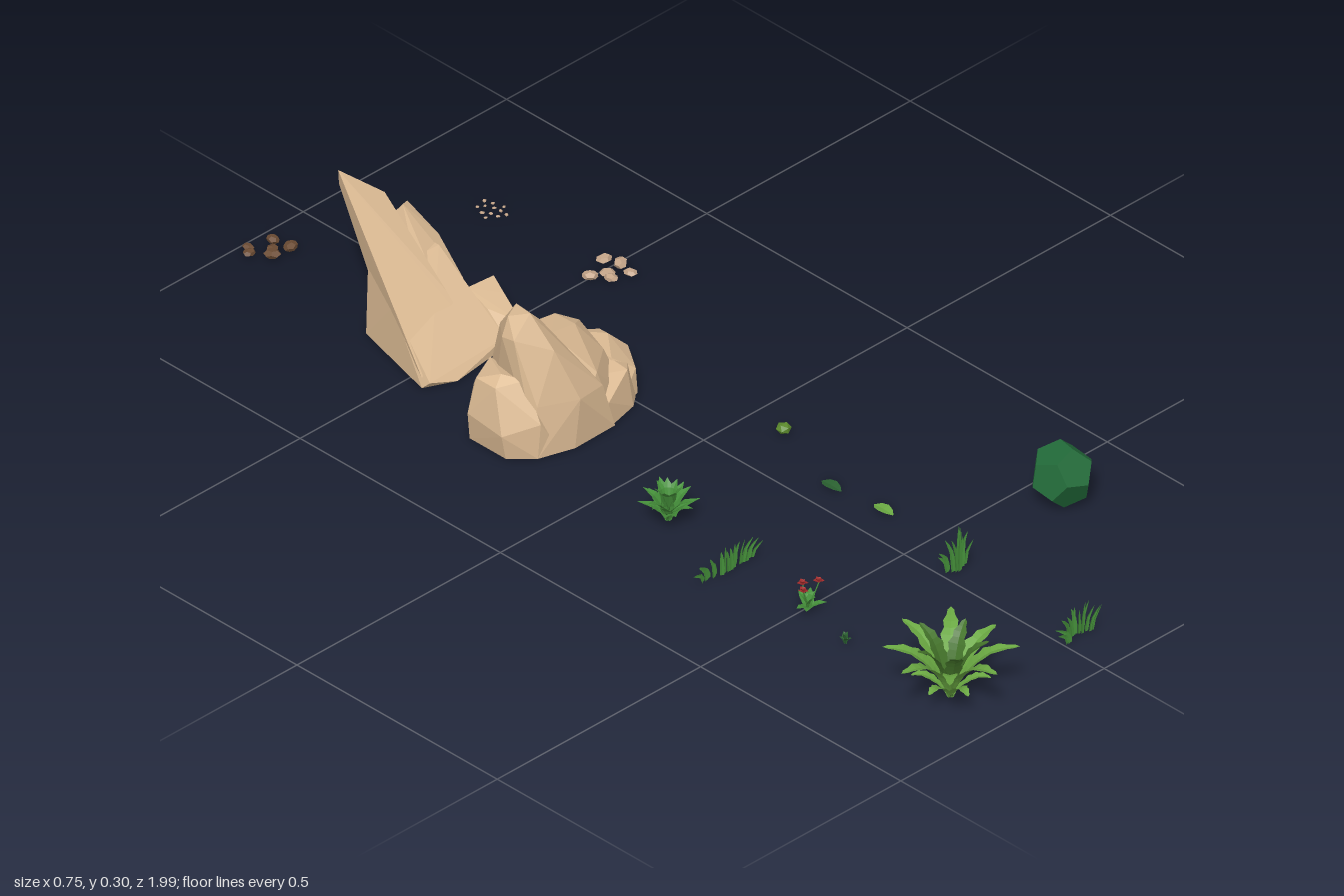
import * as THREE from 'three';
import { mergeGeometries } from 'three/addons/utils/BufferGeometryUtils.js';
import { ConvexGeometry } from 'three/addons/geometries/ConvexGeometry.js';

const paint = (color, side = THREE.FrontSide) => new THREE.MeshStandardMaterial({ color, side, flatShading: true });
const ROCK = paint(0xdcbb94), STONE = paint(0xc4a488), DARK_STONE = paint(0x6b4b33);
const BUSH = paint(0x226a39), MOSS = paint(0x5b8a2c);
const FERN = paint(0x6aa842, THREE.DoubleSide), FERN_DARK = paint(0x44742a, THREE.DoubleSide);
const GRASS = paint(0x45903a, THREE.DoubleSide), GRASS_DARK = paint(0x2a6030, THREE.DoubleSide);
const RED = paint(0xa02a2a, THREE.DoubleSide);

let seed = 7;
const rnd = (a = 0, b = 1) => {
  seed = (seed * 16807) % 2147483647;
  return a + (b - a) * (seed / 2147483647);
};

function mesh(name, geo, mat, x = 0, y = 0, z = 0) {
  const m = new THREE.Mesh(geo, mat);
  m.name = name;
  m.position.set(x, y, z);
  return m;
}

// Faceted rock from its corner points
const hull = (pts) => new ConvexGeometry(pts.map((p) => new THREE.Vector3(...p)));

// Leaf strip along a path of [out, up] points. 'card' keeps its width in the bending plane.
function leaf(path, widths, { turn = 0, fold = 0.2, card = false } = {}) {
  const curve = new THREE.SplineCurve(path.map((p) => new THREE.Vector2(...p)));
  const n = widths.length - 1, pos = [], index = [];
  widths.forEach((w, i) => {
    const p = curve.getPoint(i / n), t = curve.getTangent(Math.min(0.98, i / n));
    for (const s of [-1, 0, 1]) {
      const lift = Math.abs(s) * fold * w;
      if (card) pos.push(p.x - t.y * s * w, p.y + t.x * s * w, lift);
      else pos.push(p.x - t.y * lift, p.y + t.x * lift, s * w);
    }
    if (i < n) for (const k of [0, 1]) {
      const a = i * 3 + k;
      index.push(a, a + 1, a + 3, a + 1, a + 4, a + 3);
    }
  });
  const g = new THREE.BufferGeometry();
  g.setAttribute('position', new THREE.Float32BufferAttribute(pos, 3));
  g.setIndex(index);
  g.rotateY(turn);
  g.computeVertexNormals();
  return g;
}

function boulder() {
  const g = new THREE.Group();
  g.name = 'boulder';
  const add = (name, pts) => g.add(mesh(name, hull(pts), ROCK));
  add('boulderPeak', [
    [-.25, 0, -.16], [-.18, 0, -.138], [-.08, 0, -.14], [-.06, 0, -.33], [-.13, 0, -.35], [-.21, 0, -.315],
    [-.242, .1, -.17], [-.17, .1, -.135], [-.1, .09, -.15], [-.21, .12, -.315], [-.12, .1, -.345],
    [-.25, .22, -.22], [-.25, .215, -.25], [-.215, .265, -.215], [-.235, .252, -.25], [-.2, .255, -.265],
    [-.185, .235, -.22], [-.205, .2, -.3], [-.2, .2, -.17], [-.15, .18, -.3],
  ]);
  add('boulderRidge', [
    [-.18, 0, -.145], [-.065, 0, -.155], [.0, 0, -.19], [.03, 0, -.3], [-.05, 0, -.345], [-.14, 0, -.35],
    [-.15, .185, -.23], [-.16, .185, -.28], [-.08, .167, -.24], [-.08, .165, -.29], [-.04, .142, -.27],
    [-.13, .13, -.335], [-.05, .11, -.335], [-.1, .11, -.165], [-.03, .1, -.22], [0, .08, -.29],
  ]);
  add('boulderShoulder', [
    [-.29, 0, -.2], [-.25, 0, -.16], [-.2, 0, -.15], [-.2, 0, -.325], [-.24, 0, -.33], [-.29, 0, -.29],
    [-.3, .05, -.2], [-.3, .06, -.285], [-.245, .07, -.158], [-.235, .07, -.335], [-.286, .132, -.23],
    [-.262, .147, -.24], [-.24, .142, -.2], [-.284, .13, -.28], [-.22, .13, -.31],
  ]);
  add('boulderFoot', [
    [-.04, 0, -.17], [.02, 0, -.185], [.06, 0, -.245], [.07, 0, -.31], [-.04, 0, -.345],
    [.07, .02, -.315], [.06, .05, -.25], [.04, .07, -.3], [.03, .08, -.27], [-.02, .08, -.21], [-.03, .085, -.335],
    [.02, .05, -.19],
  ]);
  add('boulderFrontBlock', [
    [-.09, 0, -.142], [-.015, 0, -.16], [.01, 0, -.18], [-.09, .05, -.145], [-.015, .07, -.175],
    [.01, .06, -.2], [-.08, .075, -.2], [-.02, .08, -.23], [-.09, 0, -.22],
  ]);
  return g;
}

function leaningRock() {
  const g = new THREE.Group();
  g.name = 'leaningRock';
  const add = (name, pts) => g.add(mesh(name, hull(pts), ROCK));
  add('leaningRockBase', [
    [-.24, 0, -.46], [-.235, .015, -.445], [-.18, 0, -.432], [-.04, 0, -.45], [-.045, .02, -.45],
    [-.035, 0, -.7], [-.19, 0, -.65], [-.212, .11, -.56], [-.195, .15, -.61], [-.06, .15, -.6],
    [-.04, .13, -.63], [-.185, .15, -.65], [-.06, .15, -.64],
  ]);
  add('leaningRockSpire', [
    [-.238, .02, -.462], [-.212, .1, -.56], [-.1, .1, -.54], [-.1, .06, -.5], [-.185, .12, -.645], [-.105, .14, -.65],
    [-.175, .298, -.735], [-.17, .265, -.738], [-.105, .24, -.69], [-.105, .215, -.71],
  ]);
  add('leaningRockSideSpire', [
    [-.11, .09, -.54], [-.04, .09, -.56], [-.11, .1, -.66], [-.035, .08, -.66],
    [-.085, .217, -.665], [-.064, .21, -.675], [-.036, .15, -.625], [-.1, .18, -.69], [-.06, .18, -.69], [-.11, .17, -.62],
  ]);
  add('leaningRockChip', [
    [-.02, 0, -.48], [.015, 0, -.475], [-.02, 0, -.56], [.03, 0, -.56],
    [-.025, .06, -.565], [.04, .055, -.565], [.03, .04, -.53], [-.02, .035, -.52], [.018, .01, -.472],
  ]);
  return g;
}

// Scatter of squashed faceted pebbles at [x, z]
function pebbles(name, spots, size, mat) {
  const parts = spots.map(([x, z]) => {
    const s = size * rnd(0.75, 1.1);
    return new THREE.DodecahedronGeometry(1).rotateX(rnd(0, 3)).scale(s * 1.15, s * 0.58, s * 0.9)
      .rotateY(rnd(0, 6)).translate(x, s * 0.53, z);
  });
  return mesh(name, mergeGeometries(parts), mat);
}

// Flat fan of blades: roots spread over x, tips arching outward
function grassFan(name, x, z, { count, spread, height, lean, bow = 0 }) {
  const parts = [];
  for (let i = 0; i < count; i++) {
    const u = (i / (count - 1)) * 2 - 1;
    const h = height * (1 - 0.5 * u * u) * rnd(0.75, 1.05), out = u * lean + rnd(-.008, .008);
    parts.push(leaf([[0, 0], [out * 0.25, h * 0.6], [out, h]], [.004, .005, .004, .0025, .0003], { card: true, turn: rnd(-.3, .3) })
      .translate(u * spread, 0, bow * u * u + rnd(-.006, .006)));
  }
  return mesh(name, mergeGeometries(parts), GRASS, x, 0, z);
}

// Round tuft of arching blades, every third one upright
function tuft(count, radius, height, width) {
  const parts = [];
  for (let i = 0; i < count; i++) {
    const upright = i % 3 === 0;
    const r = radius * (upright ? 0.45 : rnd(0.8, 1)), h = height * (upright ? 1 : rnd(0.5, 0.8));
    parts.push(leaf([[0, 0], [r * 0.35, h * 0.65], [r, h]], [width * 0.5, width, width * 0.85, .0003],
      { turn: (i / count) * Math.PI * 2 + rnd(-.15, .15) }));
  }
  return mergeGeometries(parts);
}

// Fern with a ring of toothed arching fronds and a darker upright heart
function fern() {
  const g = new THREE.Group();
  g.name = 'fern';
  const toothed = (w) => Array.from({ length: 13 }, (_, i) => {
    const t = i / 12;
    return i === 12 ? 0 : w * (0.3 + 1.2 * t) * Math.min(1, (1 - t) * 1.8) * (i % 2 ? 1 : 0.72) + .001;
  });
  const ring = (n, path, w, offset) => mergeGeometries(Array.from({ length: n }, (_, i) => {
    const k = rnd(0.94, 1.04);
    return leaf(path.map(([r, y]) => [r * k, y * k]), toothed(w), { turn: offset + (i / n) * Math.PI * 2, fold: 0.25 });
  }));
  g.add(mesh('outerFronds', ring(8, [[0, 0], [.03, .055], [.07, .093], [.119, .104]], .023, 0), FERN));
  g.add(mesh('innerFronds', ring(5, [[0, 0], [.018, .055], [.04, .1], [.07, .122]], .021, 0.4), FERN_DARK));
  g.add(mesh('lowFronds', ring(6, [[0, 0], [.025, .03], [.05, .045], [.07, .042]], .014, 0.2), FERN));
  g.position.set(-.255, 0, .875);
  return g;
}

// Small leafy plant with red blossoms
function flower() {
  const g = new THREE.Group();
  g.name = 'flower';
  g.add(mesh('flowerLeaves', tuft(8, .035, .03, .009), GRASS));
  [[.016, .053, .01], [-.018, .046, .006], [.004, .04, -.018]].forEach(([x, y, z]) => {
    const stem = new THREE.LineCurve3(new THREE.Vector3(), new THREE.Vector3(x, y, z));
    g.add(mesh('flowerStem', new THREE.TubeGeometry(stem, 1, .0013, 4), GRASS));
    g.add(mesh('blossom', tuft(5, .011, .009, .005), RED, x, y, z));
  });
  g.position.set(-.24, 0, .505);
  return g;
}

// Single leaf lying on the ground
function fallenLeaf(x, z, mat) {
  const g = leaf([[-.024, .002], [0, .004], [.024, .002]], [.001, .009, .013, .01, .0003], { turn: Math.PI / 2 });
  return mesh('fallenLeaf', g, mat, x, 0, z);
}

export function createModel() {
  const g = new THREE.Group();
  g.name = 'natureSet';
  g.add(boulder(), leaningRock());

  // Stones
  g.add(pebbles('darkStones', [[-.153, -.982], [-.164, -.968], [-.106, -.968], [-.13, -.945], [-.14, -.935], [-.1, -.93]], .014, DARK_STONE));
  g.add(pebbles('tanStones', [[.21, -.497], [.264, -.517], [.275, -.487], [.238, -.482], [.232, -.467], [.268, -.455]], .0135, STONE));
  const grit = Array.from({ length: 12 }, (_, i) => {
    const r = Math.sqrt((i + 1) / 12);
    return [.235 + .028 * Math.cos(i * 2.4) * r, -.77 + .032 * Math.sin(i * 2.4) * r];
  });
  g.add(pebbles('grit', grit, .004, STONE));

  // Shrub and moss lump
  g.add(mesh('roundBush', new THREE.DodecahedronGeometry(.0605).rotateX(.35).rotateZ(.3).rotateY(.1), BUSH, .313, .058, .577));
  g.add(mesh('mossLump', new THREE.IcosahedronGeometry(.0145, 0).scale(1, .72, 1), MOSS, .113, .011, .085));

  // Grasses
  g.add(mesh('grassTuft', tuft(21, .058, .072, .012), GRASS, -.22, 0, .135));
  g.add(grassFan('grassRow', -.255, .32, { count: 16, spread: .058, height: .055, lean: .025 }));
  g.add(grassFan('tallGrass', .033, .602, { count: 10, spread: .02, height: .088, lean: .025, bow: -.01 }));
  g.add(grassFan('curvedGrass', .038, .89, { count: 13, spread: .03, height: .065, lean: .03, bow: .012 }));
  g.add(mesh('sprout', tuft(6, .013, .022, .005), GRASS_DARK, -.27, 0, .628));

  // Plants and leaves
  g.add(fern(), flower());
  g.add(fallenLeaf(.055, .263, GRASS_DARK), fallenLeaf(.068, .38, FERN));
  return g;
}
